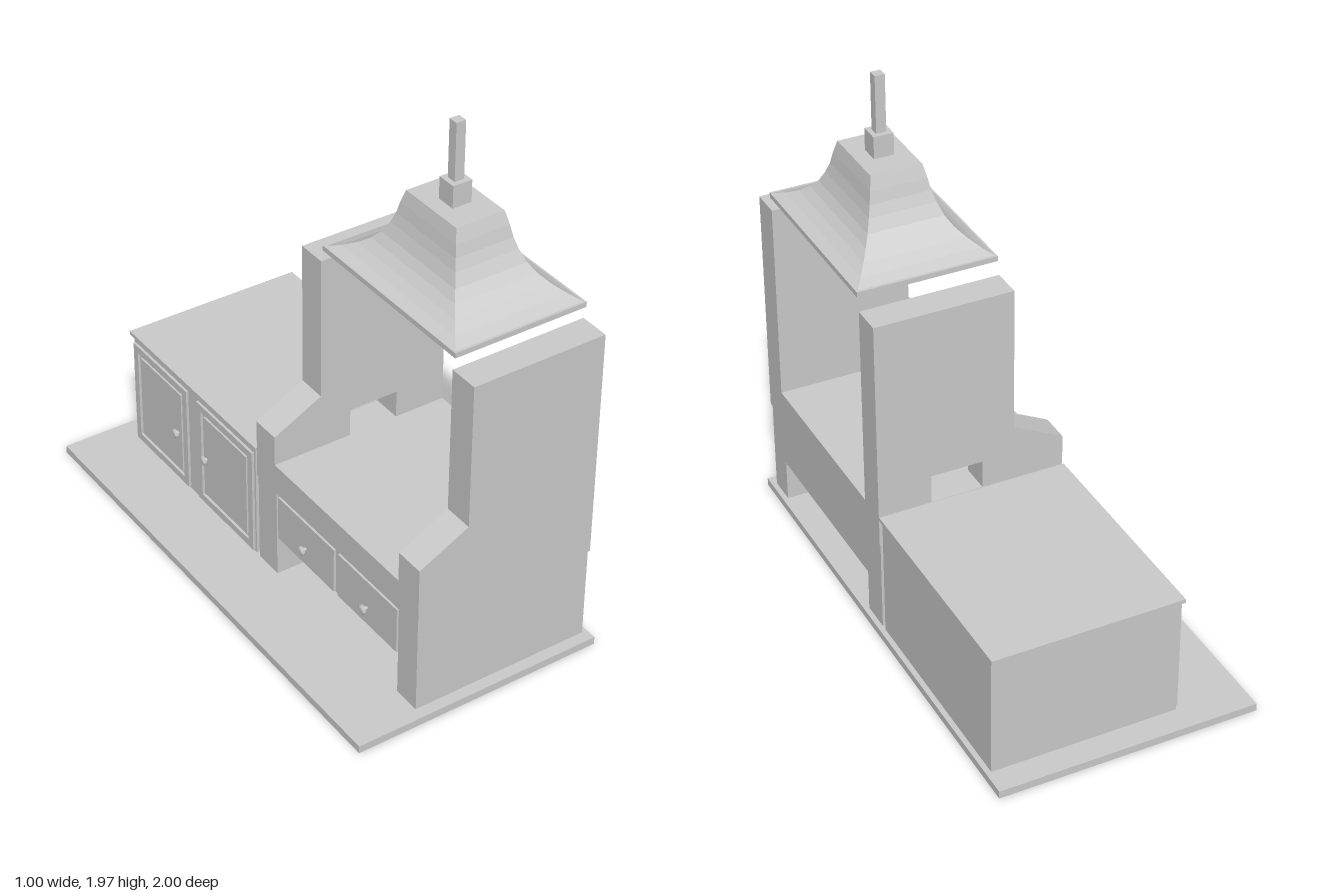
import * as THREE from 'three';

const material = new THREE.MeshStandardMaterial({ color: 0xcccccc, flatShading: true });

export function createModel() {
  const model = new THREE.Group();
  model.name = 'forgeHearth';

  const add = (name, geometry, parent = model) => {
    const mesh = new THREE.Mesh(geometry, material);
    mesh.name = name;
    parent.add(mesh);
    return mesh;
  };
  // Box given by its limits on each axis
  const box = (name, [x0, x1], [y0, y1], [z0, z1], parent) => {
    const mesh = add(name, new THREE.BoxGeometry(x1 - x0, y1 - y0, z1 - z0), parent);
    mesh.position.set((x0 + x1) / 2, (y0 + y1) / 2, (z0 + z1) / 2);
    return mesh;
  };
  const polygon = (points) => points.map(([x, y]) => new THREE.Vector2(x, y));
  const rect = (x0, x1, y0, y1) => polygon([[x0, y0], [x1, y0], [x1, y1], [x0, y1]]);

  // Knob turned about the x axis, sticking out towards -x
  const knobProfile = polygon([[0.007, 0], [0.007, 0.01], [0.018, 0.014], [0.02, 0.02], [0.012, 0.026], [0, 0.027]]);
  const knob = (y, z, parent) => {
    const mesh = add('knob', new THREE.LatheGeometry(knobProfile, 10), parent);
    mesh.rotation.z = Math.PI / 2;
    mesh.position.set(-0.237, y, z);
  };

  // Raised frame lying in the z-y plane, extruded towards -x
  const frame = (name, [z0, z1], [y0, y1], border, depth, x, parent) => {
    const shape = new THREE.Shape(rect(z0, z1, y0, y1));
    shape.holes.push(new THREE.Path(rect(z0 + border, z1 - border, y0 + border, y1 - border)));
    const geometry = new THREE.ExtrudeGeometry(shape, { depth, bevelEnabled: false });
    geometry.rotateY(-Math.PI / 2);
    add(name, geometry, parent).position.x = x;
  };

  box('floorSlab', [-0.5, 0.5], [0, 0.03], [-1, 1]);

  // Hearth table: two solid legs, drawer block and top
  const hearth = new THREE.Group();
  hearth.name = 'hearthTable';
  model.add(hearth);
  box('hearthTop', [-0.24, 0.485], [0.4, 0.52], [-0.033, 0.96], hearth);
  box('innerLeg', [-0.237, 0.48], [0.03, 0.4], [-0.028, 0.09], hearth);
  box('outerLeg', [-0.237, 0.48], [0.03, 0.4], [0.845, 0.955], hearth);
  box('drawerBlock', [-0.228, 0.48], [0.195, 0.4], [0.09, 0.845], hearth);
  for (const [z0, z1] of [[0.1, 0.455], [0.48, 0.835]]) {
    box('drawerFront', [-0.238, -0.228], [0.2, 0.385], [z0, z1], hearth);
    knob(0.27, (z0 + z1) / 2, hearth);
  }

  // Cabinet with two framed doors
  const cabinet = new THREE.Group();
  cabinet.name = 'cabinet';
  model.add(cabinet);
  box('cabinetBody', [-0.235, 0.48], [0.03, 0.505], [-0.9, -0.05], cabinet);
  box('cabinetTop', [-0.245, 0.485], [0.505, 0.52], [-0.915, -0.035], cabinet);
  for (const [z0, z1, knobZ] of [[-0.89, -0.51, -0.58], [-0.44, -0.06, -0.38]]) {
    frame('doorFrame', [z0, z1], [0.04, 0.48], 0.03, 0.01, -0.235, cabinet);
    box('doorPanel', [-0.242, -0.235], [0.085, 0.435], [z0 + 0.045, z1 - 0.045], cabinet);
    knob(0.25, knobZ, cabinet);
  }

  // Side walls with sloping shoulders; the inner one has a small opening at its foot
  const wall = (name, z0, opening) => {
    const outline = [[-0.24, 0.52], ...opening, [0.485, 0.52], [0.485, 1.305],
      [-0.045, 1.305], [-0.045, 0.74], [-0.24, 0.64]];
    const geometry = new THREE.ExtrudeGeometry(new THREE.Shape(polygon(outline)), { depth: 0.117, bevelEnabled: false });
    add(name, geometry).position.z = z0;
  };
  wall('outerWall', 0.843, []);
  wall('innerWall', -0.032, [[0.08, 0.52], [0.08, 0.63], [0.28, 0.63], [0.28, 0.52]]);

  // Flared hood: a four-sided lathe stretched to a rectangle, closed at both ends
  const hood = new THREE.Group();
  hood.name = 'hood';
  hood.position.set(0.22, 0, 0.475);
  model.add(hood);
  box('hoodRim', [-0.265, 0.265], [1.355, 1.375], [-0.38, 0.38], hood);
  const flare = [[0, 1.375], [0.2, 1.393], [0.4, 1.418], [0.57, 1.447], [0.7, 1.48],
    [0.81, 1.525], [0.88, 1.565], [0.93, 1.61], [1, 1.66]];
  const positions = [];
  const indices = [];
  flare.forEach(([inset, y], i) => {
    const hx = 0.258 - 0.161 * inset;
    const hz = 0.37 - 0.23 * inset;
    for (const [sx, sz] of [[-1, 1], [1, 1], [1, -1], [-1, -1]]) positions.push(sx * hx, y, sz * hz);
    if (i === 0) return;
    for (let k = 0; k < 4; k++) {
      const a = (i - 1) * 4 + k, b = (i - 1) * 4 + (k + 1) % 4;
      indices.push(a, b, b + 4, a, b + 4, a + 4);
    }
  });
  const last = (flare.length - 1) * 4;
  indices.push(last, last + 1, last + 2, last, last + 2, last + 3);
  const flareGeometry = new THREE.BufferGeometry();
  flareGeometry.setAttribute('position', new THREE.Float32BufferAttribute(positions, 3));
  flareGeometry.setIndex(indices);
  const flat = flareGeometry.toNonIndexed();
  flat.computeVertexNormals();
  add('hoodFlare', flat, hood);

  // Chimney
  box('chimneyCollar', [-0.038, 0.038], [1.66, 1.745], [-0.038, 0.038], hood);
  box('chimneyPipe', [-0.019, 0.019], [1.745, 1.965], [-0.019, 0.019], hood);

  return model;
}
